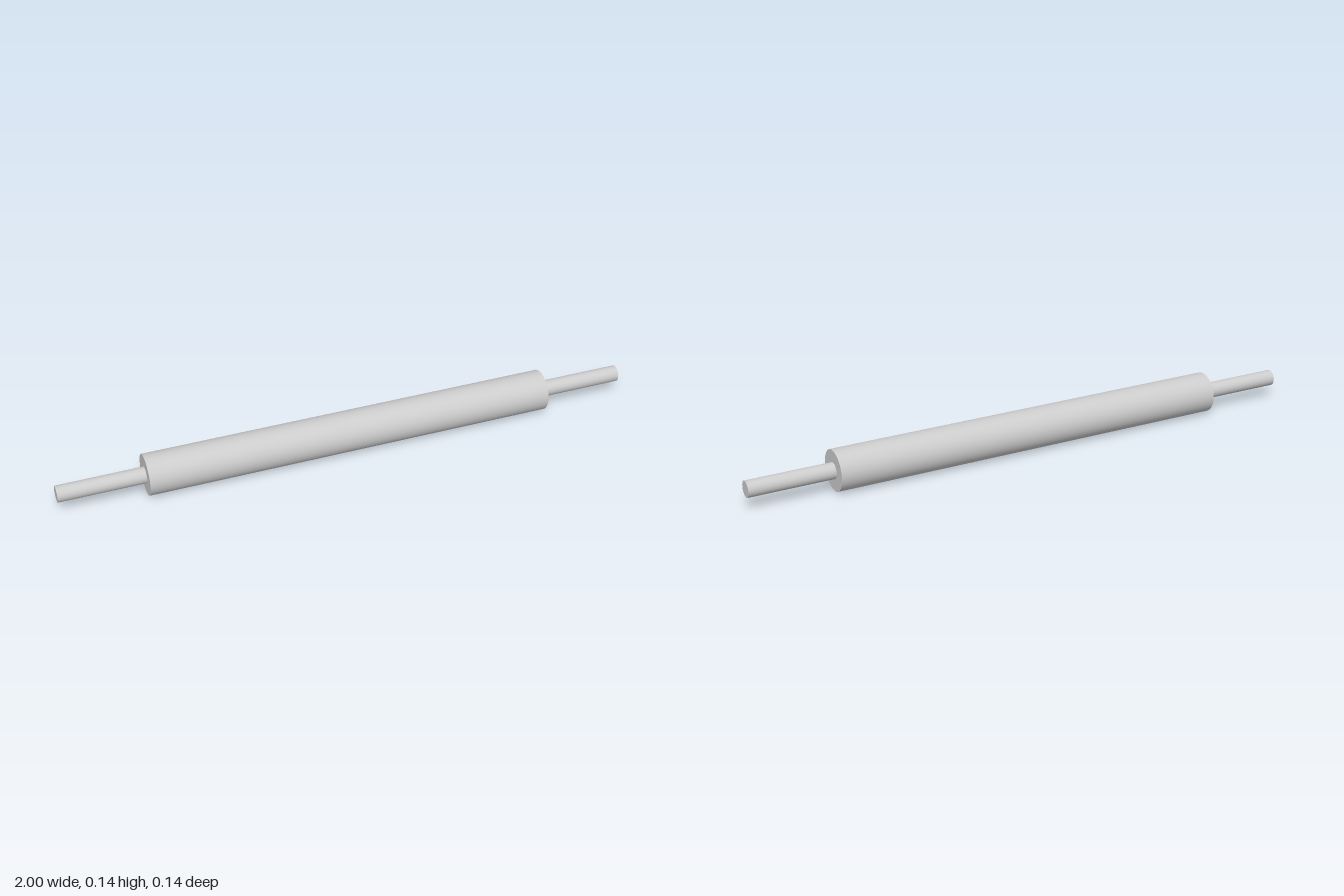
import * as THREE from 'three';

const ROLLER_RADIUS = 0.0695;
const ROLLER_HALF = 0.707;
const SHAFT_RADIUS = 0.0277;

export function createModel() {
  const group = new THREE.Group();
  group.name = 'roller';
  const material = new THREE.MeshStandardMaterial({ color: 0xcccccc });

  // Cylinder lying along x, from x0 to x1, on the common axis
  const addCylinder = (name, radius, x0, x1) => {
    const geometry = new THREE.CylinderGeometry(radius, radius, x1 - x0, 96);
    geometry.rotateZ(-Math.PI / 2);
    const mesh = new THREE.Mesh(geometry, material);
    mesh.name = name;
    mesh.position.set((x0 + x1) / 2, ROLLER_RADIUS, 0);
    group.add(mesh);
  };

  // Thick central drum
  addCylinder('drum', ROLLER_RADIUS, -ROLLER_HALF, ROLLER_HALF);

  // Thin shaft stubs at both ends
  addCylinder('leftShaft', SHAFT_RADIUS, ROLLER_HALF, 1);
  addCylinder('rightShaft', SHAFT_RADIUS, -1, -ROLLER_HALF);

  return group;
}
